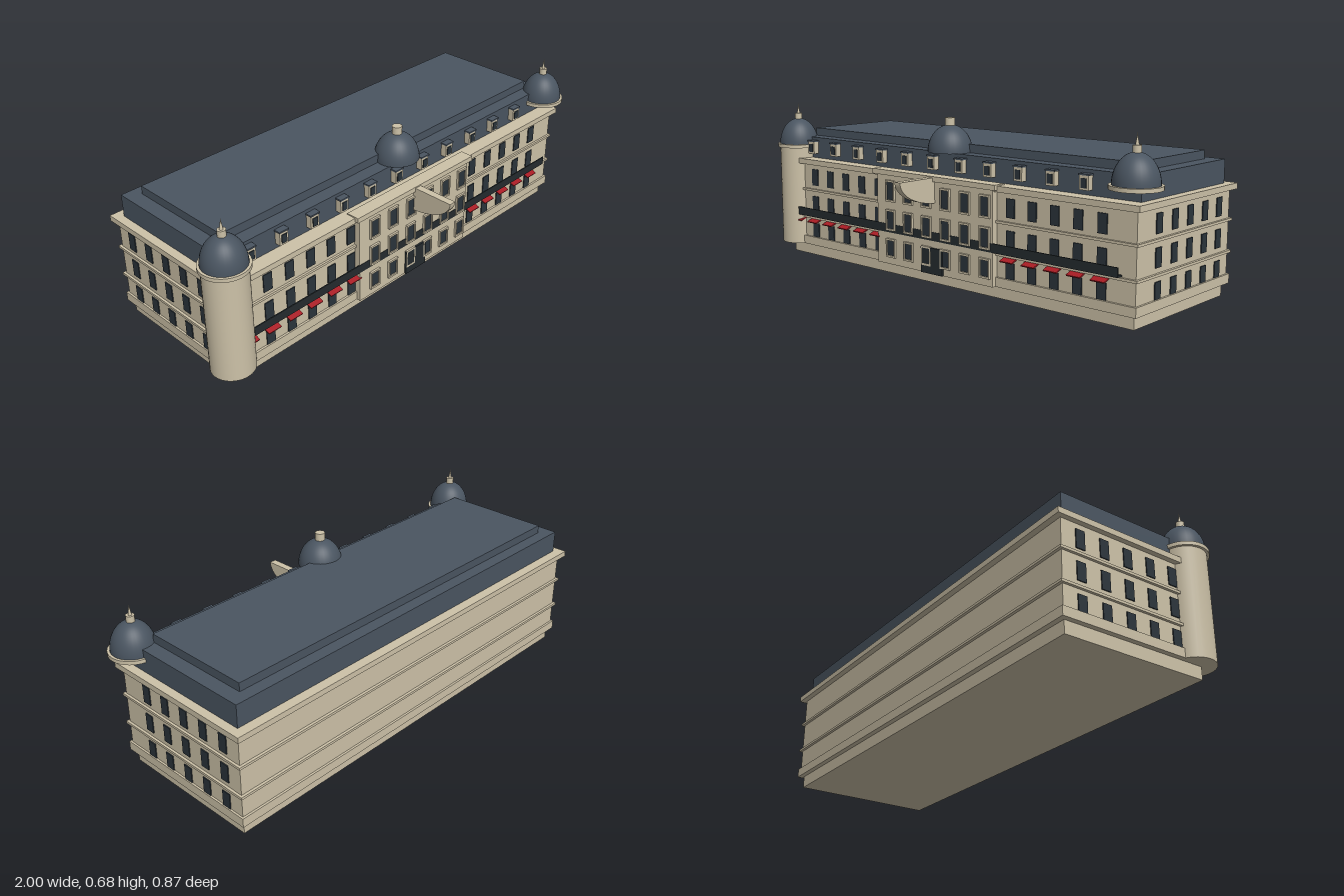
import * as THREE from 'three';

const mat = (name, color) => Object.assign(new THREE.MeshStandardMaterial({ color }), { name });

export function createModel() {
  const stone = mat('stone', 0xcdc2a8);
  const slate = mat('slate', 0x4a5561);
  const glass = mat('dark glass', 0x2b343b);
  const iron = mat('dark iron', 0x242b2e);
  const red = mat('awning red', 0xa81c24);

  const model = new THREE.Group();
  model.name = 'grandBuilding';

  const add = (name, geo, material, x, y, z, parent = model) => {
    const m = new THREE.Mesh(geo, material);
    m.name = name;
    m.position.set(x, y, z);
    parent.add(m);
    return m;
  };
  // Box given by its limits on each axis
  const block = (name, material, x0, x1, y0, y1, z0, z1, parent = model) =>
    add(name, new THREE.BoxGeometry(x1 - x0, y1 - y0, z1 - z0), material,
      (x0 + x1) / 2, (y0 + y1) / 2, (z0 + z1) / 2, parent);
  const drum = (name, material, r0, r1, y0, y1, x, z, parent = model) =>
    add(name, new THREE.CylinderGeometry(r1, r0, y1 - y0, 32), material, x, (y0 + y1) / 2, z, parent);
  // Half ellipsoid with a closed underside
  const dome = (name, r, h, x, y, z, parent = model) => {
    const pts = [new THREE.Vector2(0, 0)];
    add(name + 'Underside', new THREE.CircleGeometry(r, 32).rotateX(Math.PI / 2), slate, x, y, z, parent);
    pts.length = 0;
    for (let i = 0; i <= 16; i++) {
      const a = (i / 16) * Math.PI / 2;
      pts.push(new THREE.Vector2(r * Math.cos(a), h * Math.sin(a)));
    }
    add(name, new THREE.LatheGeometry(pts, 32), slate, x, y, z, parent);
  };

  // Walls, from the foundation up to the cornice
  block('foundation', stone, -0.925, 0.925, 0, 0.05, -0.397, 0.207);
  block('plinth', stone, -0.945, 0.945, 0.05, 0.087, -0.418, 0.229);
  block('walls', stone, -0.937, 0.937, 0.087, 0.42, -0.409, 0.22);
  for (const y of [0.171, 0.296]) block('stringCourse', stone, -0.947, 0.947, y, y + 0.01, -0.42, 0.229);
  block('cornice', stone, -0.957, 0.957, 0.417, 0.44, -0.433, 0.241);

  // Central bay
  block('centralBay', stone, -0.317, 0.317, 0.05, 0.424, 0.2, 0.246);
  block('centralCornice', stone, -0.335, 0.335, 0.424, 0.445, 0.2, 0.257);
  block('door', iron, -0.057, 0.06, 0.05, 0.156, 0.24, 0.2545);

  // Stepped roof
  block('lowerRoof', slate, -0.922, 0.922, 0.44, 0.532, -0.392, 0.177);
  block('upperRoof', slate, -0.863, 0.863, 0.532, 0.566, -0.342, 0.12);

  // Windows: [bottom, top] for each floor
  const floors = [[0.088, 0.151], [0.201, 0.273], [0.322, 0.395]];
  for (let i = 0; i < 17; i++) {
    const x = -0.856 + i * 0.1033;
    const framed = i >= 6 && i <= 11;
    const z = framed ? 0.246 : 0.22;
    for (const [y0, y1] of floors) {
      block('frontWindow', glass, x - 0.02, x + 0.02, y0, y1, z - 0.001, z + 0.004);
      if (!framed) continue;
      for (const s of [-1, 1]) {
        add('frameSide', new THREE.BoxGeometry(0.006, y1 - y0 + 0.016, 0.012), stone,
          x + s * 0.023, (y0 + y1) / 2, z + 0.003);
        add('frameRail', new THREE.BoxGeometry(0.04, 0.008, 0.012), stone,
          x, s < 0 ? y0 - 0.004 : y1 + 0.004, z + 0.003);
      }
    }
    // Sloping awning over the outer ground-floor windows
    if (!framed) {
      const awning = add('awning', new THREE.BoxGeometry(0.06, 0.005, 0.032), red, x, 0.163, 0.234);
      awning.rotation.x = 0.36;
    }
  }
  for (const side of [-1, 1]) for (let i = 0; i < 5; i++) for (const [y0, y1] of floors) {
    add('sideWindow', new THREE.BoxGeometry(0.006, y1 - y0, 0.038), glass,
      side * 0.938, (y0 + y1) / 2, 0.086 - i * 0.1038);
  }

  // Long balcony
  block('balconyFloor', iron, -0.845, 0.88, 0.184, 0.19, 0.215, 0.247);
  block('balconyRail', iron, -0.845, 0.88, 0.19, 0.22, 0.2425, 0.2475);

  // Dormers along the front of the roof
  for (let i = 0; i < 11; i++) {
    const dormer = new THREE.Group();
    dormer.name = 'dormer';
    dormer.position.x = -0.8 + i * 0.15;
    model.add(dormer);
    block('dormerBody', stone, -0.02, 0.02, 0.46, 0.513, 0.16, 0.202, dormer);
    block('dormerWindow', glass, -0.012, 0.012, 0.468, 0.503, 0.2, 0.205, dormer);
    block('dormerRoof', slate, -0.023, 0.023, 0.513, 0.519, 0.16, 0.205, dormer);
  }

  // Corner turrets; only the right-hand end of the frontage (-x) has a full shaft
  for (const side of [-1, 1]) {
    const turret = new THREE.Group();
    turret.name = 'cornerTurret';
    turret.position.set(side * 0.905, 0, 0.186);
    model.add(turret);
    if (side < 0) drum('turretShaft', stone, 0.085, 0.085, 0.05, 0.486, 0, 0, turret);
    drum('turretRing', stone, 0.095, 0.095, 0.485, 0.5, 0, 0, turret);
    dome('turretDome', 0.085, 0.112, 0, 0.5, 0, turret);
    drum('turretNeck', stone, 0.016, 0.016, 0.605, 0.635, 0, 0, turret);
    drum('turretSpire', stone, 0.007, 0, 0.635, 0.678, 0, 0, turret);
  }

  // Central dome with its lantern
  dome('centralDome', 0.09, 0.108, 0, 0.532, 0.141);
  drum('lantern', stone, 0.02, 0.02, 0.63, 0.668, 0, 0.141);

  // Quarter-ellipse fin projecting over the entrance
  const fin = new THREE.Shape();
  fin.moveTo(0, 0);
  fin.lineTo(-0.213, 0);
  fin.absellipse(0, 0, 0.213, 0.103, Math.PI, Math.PI * 1.5, false, 0);
  fin.closePath();
  const finGeo = new THREE.ExtrudeGeometry(fin, { depth: 0.03, bevelEnabled: false, curveSegments: 16 });
  finGeo.translate(0, 0, -0.015).rotateY(Math.PI / 2);
  add('entranceFin', finGeo, stone, 0, 0.44, 0.22);

  return model;
}
